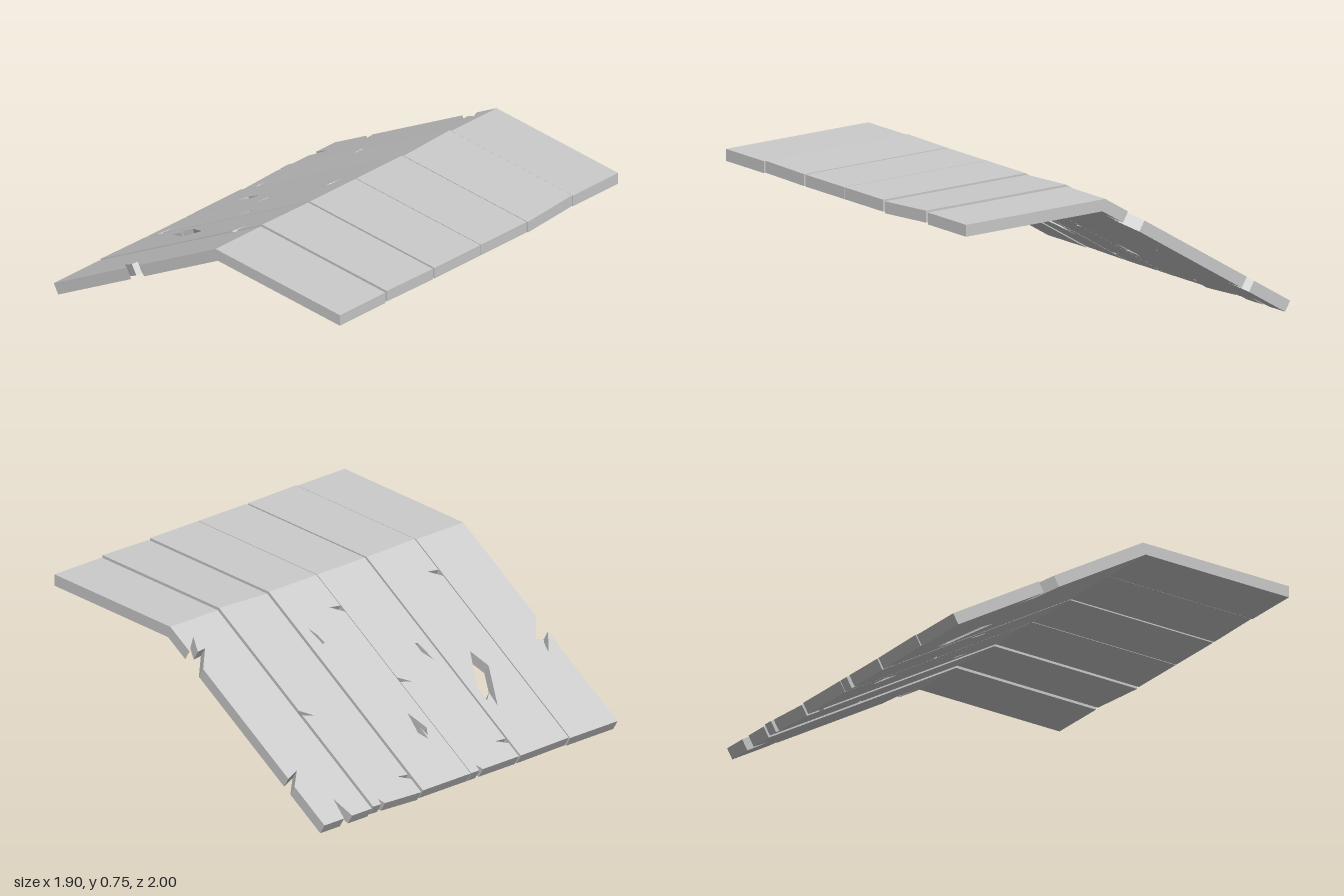
import * as THREE from 'three';

const BEND = 0.13;    // z of the ridge where the planks start to slope
const TOP = 0.742;    // height of the level part
const THICK = 0.06;
const GRADE = 0.605;  // drop per unit of z on the slope
const ANGLE = Math.atan(GRADE);

// Edge damage is listed as [x, z] points along the top face.
// left: front to back, back: left to right, right: back to front.
const nickLeftFront = [[-0.312, -0.045], [-0.25, -0.035], [-0.312, -0.08]];
const nickLeftBack = [[-0.312, -0.9], [-0.25, -0.895], [-0.312, -0.925]];
const nickBack = [[-0.078, -1], [-0.058, -0.97], [-0.054, -1]];
const nickRight = [[-0.002, -0.48], [-0.063, -0.497], [-0.002, -0.455]];
const move = (pts, dx) => pts.map(([x, z]) => [x + dx, z]);

const planks = [
  {
    x: [-0.952, -0.645],
    left: [[-0.952, -0.4], [-0.862, -0.505], [-0.893, -0.515], [-0.873, -0.585], [-0.952, -0.49]],
  },
  {
    x: [-0.635, -0.323], lift: [0.005, 0],
    left: move(nickLeftFront, -0.323),
    holes: [[[-0.513, -0.55], [-0.402, -0.743], [-0.41, -0.67], [-0.37, -0.7], [-0.37, -0.63], [-0.476, -0.456]]],
  },
  {
    x: [-0.312, -0.002],
    left: nickLeftBack, back: nickBack, right: nickRight,
    holes: [[[-0.26, -0.435], [-0.228, -0.38], [-0.23, -0.33], [-0.245, -0.335]]],
  },
  {
    x: [0.002, 0.312],
    left: move(nickLeftFront, 0.314),
    holes: [
      [[0.045, -0.725], [0.068, -0.76], [0.078, -0.71], [0.08, -0.78], [0.11, -0.735], [0.085, -0.63]],
      [[0.227, -0.185], [0.243, -0.19], [0.258, -0.09], [0.235, -0.14]],
    ],
  },
  {
    x: [0.323, 0.635], lift: [-0.006, 0.008], front: [0.998, 0.985],
    left: move(nickLeftBack, 0.635), back: move(nickBack, 0.637), right: move(nickRight, 0.637),
  },
  {
    x: [0.645, 0.952], front: [0.98, 0.98],
    back: [[0.772, -1], [0.802, -0.895], [0.825, -1]],
    right: [
      [0.952, -0.78], [0.875, -0.71], [0.952, -0.735],
      [0.952, -0.11], [0.86, -0.02], [0.91, -0.025], [0.875, 0.05], [0.952, -0.01],
    ],
  },
];

const toVectors = (pts) => pts.map(([x, z]) => new THREE.Vector2(x, z));

// Extrudes an outline, then folds it: level in front of the ridge, sloping behind it.
function boardGeometry(outline, holes, { x: [x0, x1], lift = [0, 0] }) {
  const shape = new THREE.Shape(toVectors(outline));
  shape.holes = holes.map((h) => new THREE.Path(toVectors(h)));
  const geo = new THREE.ExtrudeGeometry(shape, { depth: 1, bevelEnabled: false });
  const p = geo.attributes.position;
  for (let i = 0; i < p.count; i++) {
    const x = p.getX(i), z = p.getY(i), t = p.getZ(i) * THICK;
    const raise = THREE.MathUtils.mapLinear(x, x0, x1, lift[0], lift[1]);
    let y = TOP - t, depthZ = z;
    if (Math.abs(z - BEND) < 1e-4) {
      depthZ += t * Math.tan(ANGLE / 2); // mitre at the ridge
    } else if (z < BEND) {
      y = TOP - (BEND - z) * GRADE - t * Math.cos(ANGLE);
      depthZ += t * Math.sin(ANGLE);
    }
    p.setXYZ(i, x, y + raise, depthZ);
  }
  geo.computeVertexNormals();
  return geo;
}

export function createModel() {
  const model = new THREE.Group();
  model.name = 'plankRoof';
  const material = new THREE.MeshStandardMaterial({ color: 0xcccccc, flatShading: true });

  planks.forEach((plank, i) => {
    const { x: [x0, x1], front = [1, 1], left = [], back = [], right = [], holes = [] } = plank;
    const group = new THREE.Group();
    group.name = `plank${i + 1}`;
    const add = (name, outline, cuts) => {
      const mesh = new THREE.Mesh(boardGeometry(outline, cuts, plank), material);
      mesh.name = name;
      group.add(mesh);
    };
    // Level front part
    add('levelBoard', [[x0, front[0]], [x0, BEND], [x1, BEND], [x1, front[1]]], []);
    // Sloping rear part with splintered edges and holes
    add('slopingBoard', [[x0, BEND], ...left, [x0, -1], ...back, [x1, -1], ...right, [x1, BEND]], holes);
    model.add(group);
  });
  return model;
}
